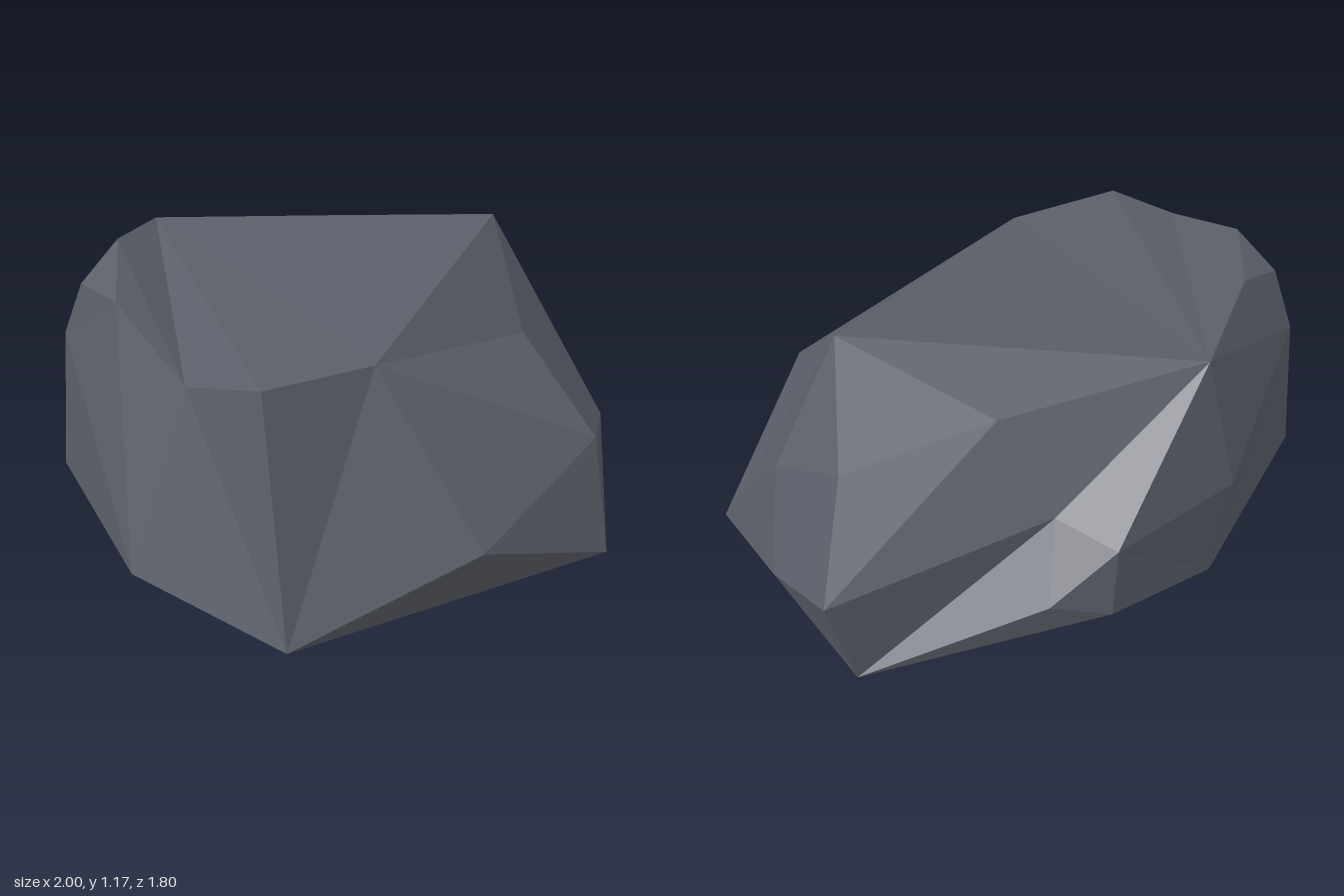
import * as THREE from 'three';

// Corner points of the boulder, one letter each
const corners = {
  // top rim
  A: [-0.55, 0.99, 0.75], B: [-0.74, 0.965, 0.59], C: [-0.155, 0.975, 0.65],
  D: [0.59, 1.11, -0.18], E: [-0.55, 1.11, -0.54], b: [0.14, 1.02, -0.6],
  V: [0.64, 0.91, -0.64], R: [-0.76, 1.17, -0.2], S: [-0.86, 1.11, 0.21],
  Q: [-0.92, 1.09, -0.04], P: [-0.97, 0.9, -0.11],
  // waist
  F: [0.13, 0.38, 0.88], I: [0.67, 0.55, 0.55], J: [0.57, 0.79, 0.16],
  K: [0.82, 0.77, -0.38], L: [1, 0.32, -0.05], U: [0.865, 0.5, -0.59],
  T: [0.73, 0.57, -0.865], Y: [-0.02, 0.71, -0.73], Z: [-0.19, 0.67, -0.88],
  W: [0.03, 0.49, -0.9], a: [-0.65, 0.63, -0.575], d: [-0.18, 0.41, -0.88],
  N: [-0.95, 0.4, 0.665], O: [-1, 0.42, -0.11],
  // underside
  G: [-0.53, 0.165, 0.9], H: [0.69, 0.155, 0.64], X: [0.635, 0.18, -0.78],
  c: [-0.6, 0.25, -0.56], M: [0.08, 0, 0.03],
};

// Facets as fans: a hub corner followed by the rim around it
const fans = [
  'CAGFIJDEA', 'EABRQPaZYbD', 'SRBNPQR', 'GABNOMHF', 'LDJIHXUKD',
  'XUTYWdcMH', 'VDKUTbD', 'cdZaPOM', 'FHI', 'TYb', 'WYZd', 'NOP',
];

function rockGeometry() {
  const point = (k) => new THREE.Vector3(...corners[k]);
  const centre = new THREE.Vector3(0, 0.55, 0);
  const points = [];
  const normal = new THREE.Vector3();
  for (const fan of fans) {
    for (let i = 1; i < fan.length - 1; i++) {
      const [p, q, r] = [fan[0], fan[i], fan[i + 1]].map(point);
      new THREE.Triangle(p, q, r).getNormal(normal);
      // wind every facet so that it faces away from the centre
      const mid = p.clone().add(q).add(r).divideScalar(3).sub(centre);
      points.push(...(normal.dot(mid) > 0 ? [p, q, r] : [p, r, q]));
    }
  }
  const geometry = new THREE.BufferGeometry().setFromPoints(points);
  geometry.computeVertexNormals();
  return geometry;
}

export function createModel() {
  const group = new THREE.Group();
  group.name = 'rock';
  const stone = new THREE.MeshStandardMaterial({ color: 0x5b5f69, flatShading: true });
  stone.name = 'slate grey stone';
  const boulder = new THREE.Mesh(rockGeometry(), stone);
  boulder.name = 'boulder';
  group.add(boulder);
  return group;
}
